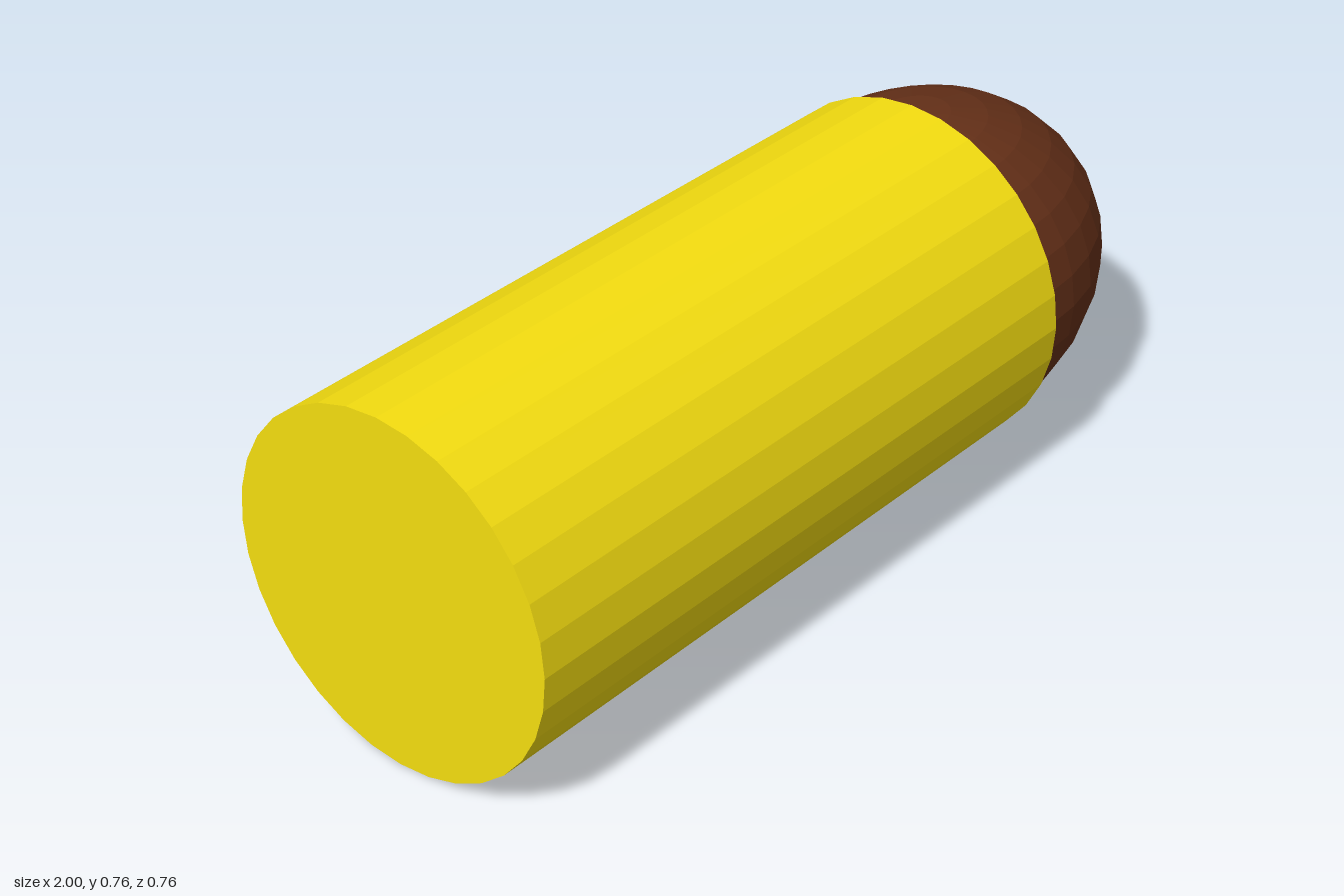
import * as THREE from 'three';

export function createModel() {
  const group = new THREE.Group();
  const paint = (color) => new THREE.MeshStandardMaterial({ color, flatShading: true });
  const radius = 0.38, axisY = 0.381, mouthX = 0.52;

  // Straight casing lying along x, closed at both ends
  const length = mouthX + 1;
  const casing = new THREE.Mesh(
    new THREE.CylinderGeometry(radius, radius, length, 32),
    paint(0xf5de10)
  );
  casing.name = 'casing';
  casing.rotation.z = -Math.PI / 2;
  casing.position.set(-1 + length / 2, axisY, 0);
  group.add(casing);

  // Rounded tip: a stretched ball, half sunk into the casing
  const tip = new THREE.Mesh(new THREE.SphereGeometry(0.365, 32, 16), paint(0x653018));
  tip.name = 'tip';
  tip.scale.x = (1 - mouthX) / 0.365;
  tip.position.set(mouthX, axisY, 0);
  group.add(tip);

  return group;
}
